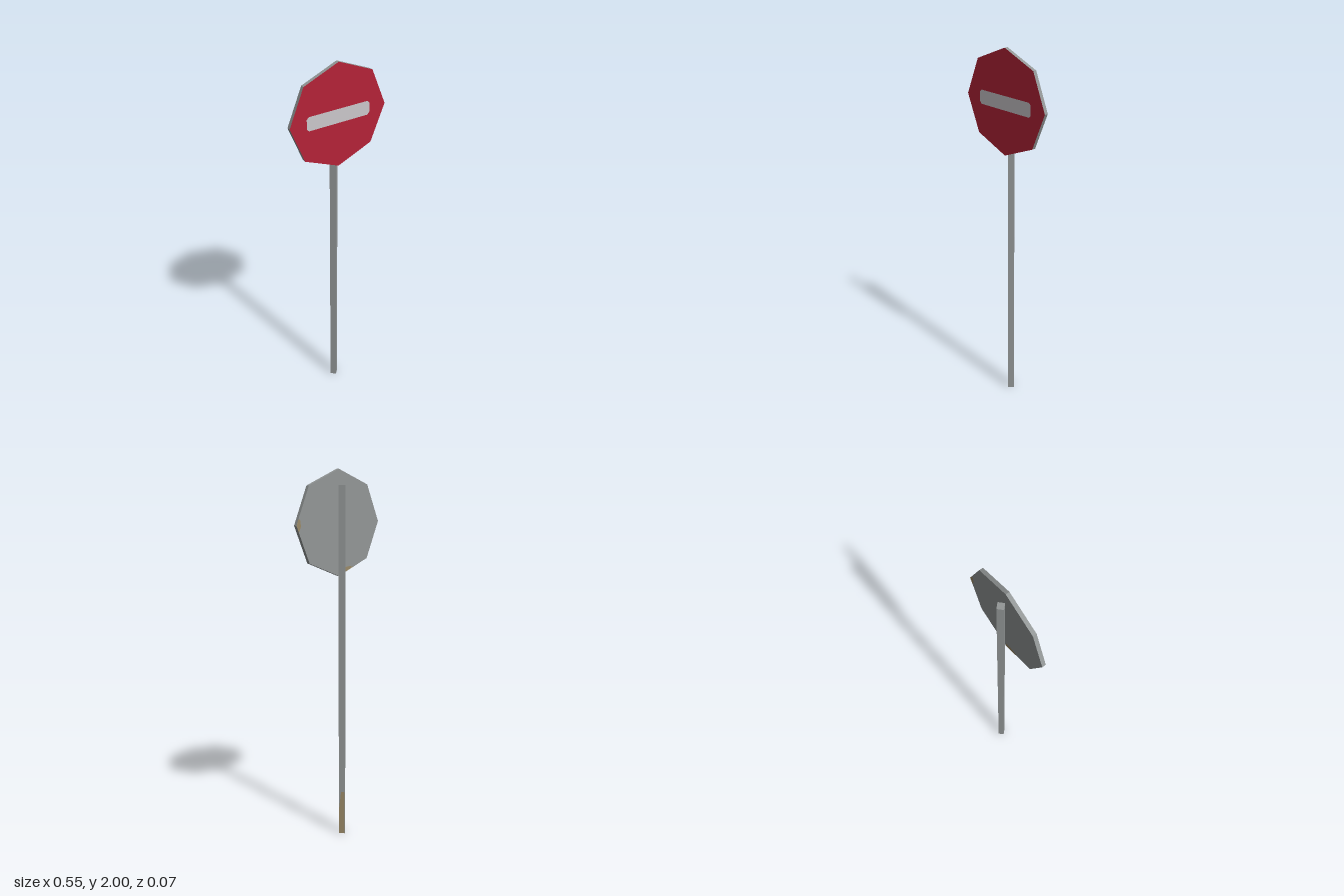
import * as THREE from 'three';

const material = (name, color) => {
  const m = new THREE.MeshStandardMaterial({ color, flatShading: true });
  m.name = name;
  return m;
};

export function createModel() {
  const group = new THREE.Group();
  const grey = material('galvanised grey', 0x939797);
  const red = material('sign red', 0xb52338);
  const white = material('pale grey', 0xcbc7cb);
  const rust = material('rust', 0x9a8a68);

  const add = (name, geometry, mat, x = 0, y = 0, z = 0, turn = 0) => {
    const mesh = new THREE.Mesh(geometry, mat);
    mesh.name = name;
    mesh.position.set(x, y, z);
    mesh.rotation.y = turn;
    group.add(mesh);
    return mesh;
  };
  const flat = (points) =>
    new THREE.ShapeGeometry(new THREE.Shape(points.map(([x, y]) => new THREE.Vector2(x, y))));

  // Four-sided post, standing on edge towards the front
  add('post', new THREE.CylinderGeometry(0.0235, 0.0235, 1.92, 4), grey, 0, 0.96, -0.012);

  // Octagonal board with a red face, grey rim and grey back
  const radius = 0.273, centreY = 1.7275;
  const board = new THREE.CylinderGeometry(radius, radius, 0.02, 8).rotateX(Math.PI / 2);
  add('board', board, [grey, red, grey], 0, centreY, 0.0235);

  // Horizontal bar with clipped corners
  const w = 0.18, h = 0.037, c = 0.012;
  add('bar', flat([
    [-w, -h + c], [-w + c, -h], [w - c, -h], [w, -h + c],
    [w, h - c], [w - c, h], [-w + c, h], [-w, h - c],
  ]), white, 0, centreY, 0.0345);

  // Rust at the foot of the post, on its rear side face
  add('postRust', flat([
    [-0.016, 0], [0.016, 0], [0.016, 0.25], [-0.004, 0.25], [-0.016, 0.14],
  ]), rust, 0.0122, 0, -0.0242, Math.PI * 0.75);

  // Rust patches on the board's back, at one side corner and along the lower edge
  add('cornerRust', flat([
    [-radius, 0], [-0.259, -0.035], [-0.245, -0.005], [-0.25, 0.03], [-0.261, 0.03],
  ]), rust, 0, centreY, 0.013, Math.PI);
  add('edgeRust', flat([
    [0.005, -0.27], [0.1, -0.231], [0.07, -0.226], [0.03, -0.23], [0.005, -0.24],
  ]), rust, 0, centreY, 0.013, Math.PI);

  return group;
}
